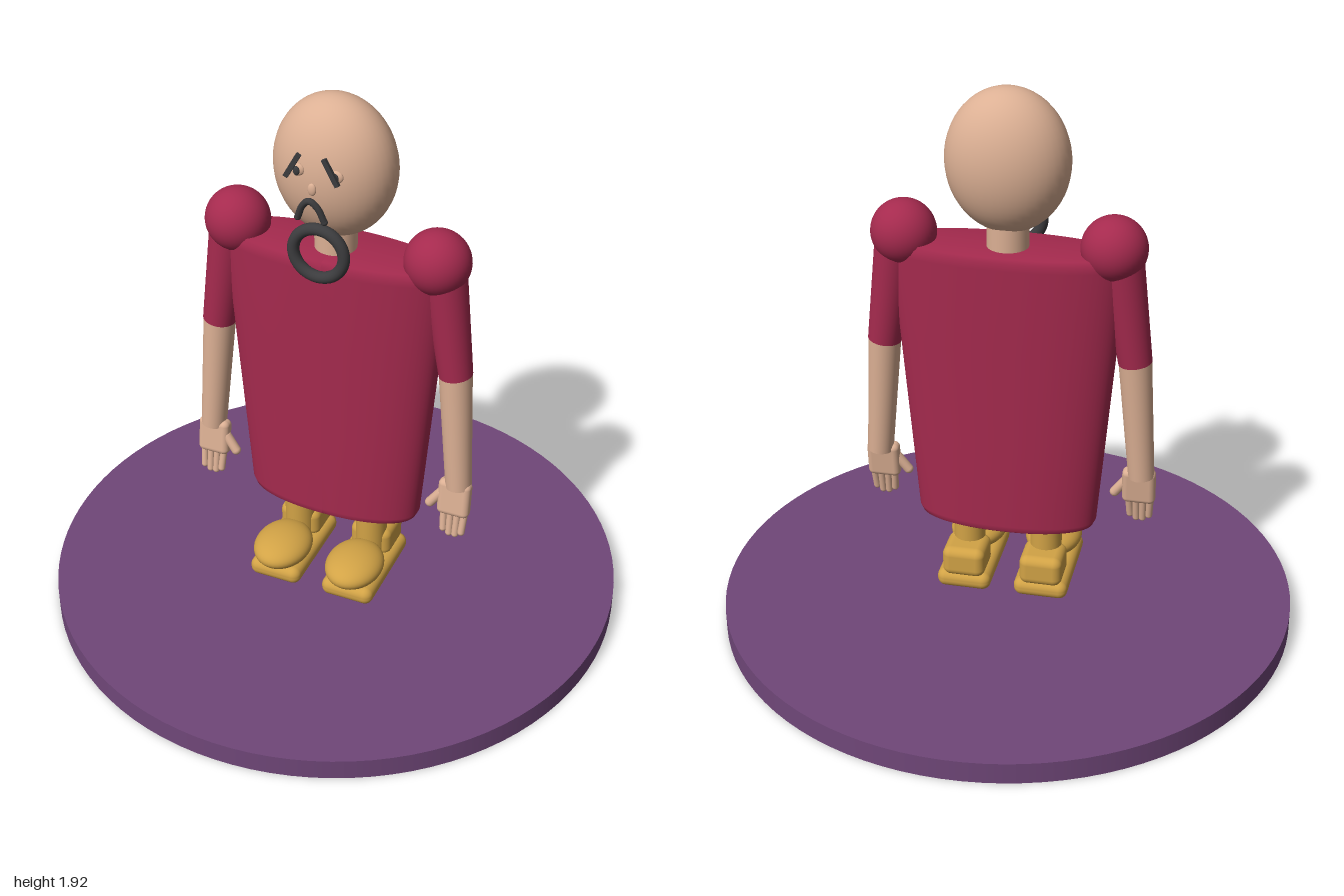
import * as THREE from 'three';
import { RoundedBoxGeometry } from 'three/addons/geometries/RoundedBoxGeometry.js';

const mat = (name, color) => {
  const m = new THREE.MeshStandardMaterial({ color });
  m.name = name;
  return m;
};

export function createModel() {
  const skin = mat('skin', 0xdcb094);
  const red = mat('crimson cloth', 0xa52a4e);
  const gold = mat('mustard', 0xd2a346);
  const dark = mat('charcoal', 0x3c3c3e);
  const purple = mat('purple', 0x704779);

  const model = new THREE.Group();
  model.name = 'figure';
  const V = (x, y, z) => new THREE.Vector3(x, y, z);

  const add = (parent, name, geometry, material, x = 0, y = 0, z = 0) => {
    const mesh = new THREE.Mesh(geometry, material);
    mesh.name = name;
    mesh.position.set(x, y, z);
    parent.add(mesh);
    return mesh;
  };
  const ball = (parent, name, material, x, y, z, rx, ry, rz) => {
    const mesh = add(parent, name, new THREE.SphereGeometry(1, 40, 28), material, x, y, z);
    mesh.scale.set(rx, ry, rz);
    return mesh;
  };
  // Tapered round limb between two points
  const limb = (parent, name, material, a, b, ra, rb) => {
    const dir = b.clone().sub(a);
    const mesh = add(parent, name, new THREE.CylinderGeometry(rb, ra, dir.length(), 28), material);
    mesh.position.copy(a).addScaledVector(dir, 0.5);
    mesh.quaternion.setFromUnitVectors(V(0, 1, 0), dir.normalize());
    return mesh;
  };
  // Round-ended limb, for fingers
  const capsule = (parent, name, material, a, b, r) => {
    const dir = b.clone().sub(a);
    const mesh = add(parent, name, new THREE.CapsuleGeometry(r, dir.length(), 6, 14), material);
    mesh.position.copy(a).addScaledVector(dir, 0.5);
    mesh.quaternion.setFromUnitVectors(V(0, 1, 0), dir.normalize());
    return mesh;
  };

  // Base disc
  add(model, 'base', new THREE.CylinderGeometry(1, 1, 0.075, 96), purple, 0, 0.0375, 0);

  // Torso: oval section that widens towards the shoulders, with softened rims
  const profile = [[0, 0.36], [0.93, 0.36], [0.975, 0.365], [1, 0.385], [1, 0.7], [1, 1.05],
    [1, 1.345], [0.98, 1.37], [0.93, 1.385], [0, 1.385]].map(([r, y]) => new THREE.Vector2(r, y));
  const torso = new THREE.LatheGeometry(profile, 72);
  const p = torso.attributes.position;
  for (let i = 0; i < p.count; i++) {
    const y = p.getY(i), r = Math.hypot(p.getX(i), p.getZ(i));
    const a = Math.atan2(p.getZ(i), p.getX(i));
    const squared = (v) => Math.sign(v) * Math.pow(Math.abs(v), 0.9);
    p.setX(i, squared(Math.cos(a)) * r * (0.31 + (y - 0.36) * 0.085));
    p.setZ(i, squared(Math.sin(a)) * r * 0.125);
  }
  torso.computeVertexNormals();
  add(model, 'torso', torso, red);

  // Neck and head
  add(model, 'neck', new THREE.CylinderGeometry(0.07, 0.07, 0.14, 32), skin, 0, 1.44, 0);
  ball(model, 'head', skin, 0, 1.68, 0, 0.206, 0.242, 0.155);

  // Face
  const face = new THREE.Group();
  face.name = 'face';
  model.add(face);
  ball(face, 'nose', skin, 0, 1.682, 0.186, 0.014, 0.021, 0.008);
  const frown = new THREE.CatmullRomCurve3([V(-0.045, 1.582, 0.195), V(-0.024, 1.632, 0.202),
    V(0, 1.652, 0.206), V(0.024, 1.632, 0.202), V(0.045, 1.582, 0.195)]);
  add(face, 'mouth', new THREE.TubeGeometry(frown, 28, 0.011, 10), dark);
  for (const end of [-1, 1]) ball(face, 'mouthEnd', dark, end * 0.045, 1.582, 0.195, 0.011, 0.011, 0.011);
  add(face, 'neckRing', new THREE.TorusGeometry(0.087, 0.02, 18, 56), dark, 0, 1.43, 0.14);

  for (const s of [1, -1]) {
    const side = s > 0 ? 'left' : 'right';
    ball(face, side + 'Eye', skin, s * 0.065, 1.72, 0.147, 0.023, 0.021, 0.01);
    ball(face, side + 'Pupil', dark, s * 0.065, 1.72, 0.158, 0.011, 0.016, 0.006);
    const brow = add(face, side + 'Brow', new THREE.BoxGeometry(0.016, 0.095, 0.012), dark, s * 0.064, 1.755, 0.19);
    brow.rotation.z = s * 0.5;

    // Arm: puffed shoulder, sleeve and forearm
    const arm = new THREE.Group();
    arm.name = side + 'Arm';
    model.add(arm);
    ball(arm, 'shoulder', red, s * 0.35, 1.405, 0, 0.11, 0.11, 0.106);
    const elbow = V(s * 0.429, 1.0, 0.008);
    limb(arm, 'sleeve', red, V(s * 0.37, 1.41, 0), elbow, 0.074, 0.057);
    limb(arm, 'forearm', skin, V(s * 0.428, 1.01, 0.008), V(s * 0.461, 0.56, 0.022), 0.056, 0.045);

    // Hand
    const hand = new THREE.Group();
    hand.name = side + 'Hand';
    arm.add(hand);
    const palm = add(hand, 'palm', new RoundedBoxGeometry(0.115, 0.135, 0.05, 4, 0.02), skin, s * 0.453, 0.515, 0.034);
    palm.rotation.x = -0.12;
    for (let i = 0; i < 4; i++) {
      const x = 0.418 + i * 0.025;
      const tip = [0.388, 0.375, 0.375, 0.388][i];
      capsule(hand, 'finger', skin, V(s * x, 0.46, 0.04), V(s * (x + (i - 1.5) * -0.003), tip, 0.054), 0.0125);
    }
    capsule(hand, 'thumb', skin, V(s * 0.405, 0.525, 0.037), V(s * 0.368, 0.475, 0.042), 0.017);

    // Leg and shoe
    const leg = new THREE.Group();
    leg.name = side + 'Leg';
    model.add(leg);
    const x = s * 0.137;
    add(leg, 'shin', new THREE.CylinderGeometry(0.055, 0.055, 0.23, 32), gold, x, 0.285, 0);
    add(leg, 'sole', new RoundedBoxGeometry(0.19, 0.066, 0.368, 5, 0.03), gold, x, 0.136, 0.06);
    add(leg, 'heel', new RoundedBoxGeometry(0.15, 0.11, 0.148, 5, 0.03), gold, x, 0.208, -0.05);
    ball(leg, 'toe', gold, x, 0.205, 0.153, 0.1, 0.056, 0.125);
  }
  return model;
}
